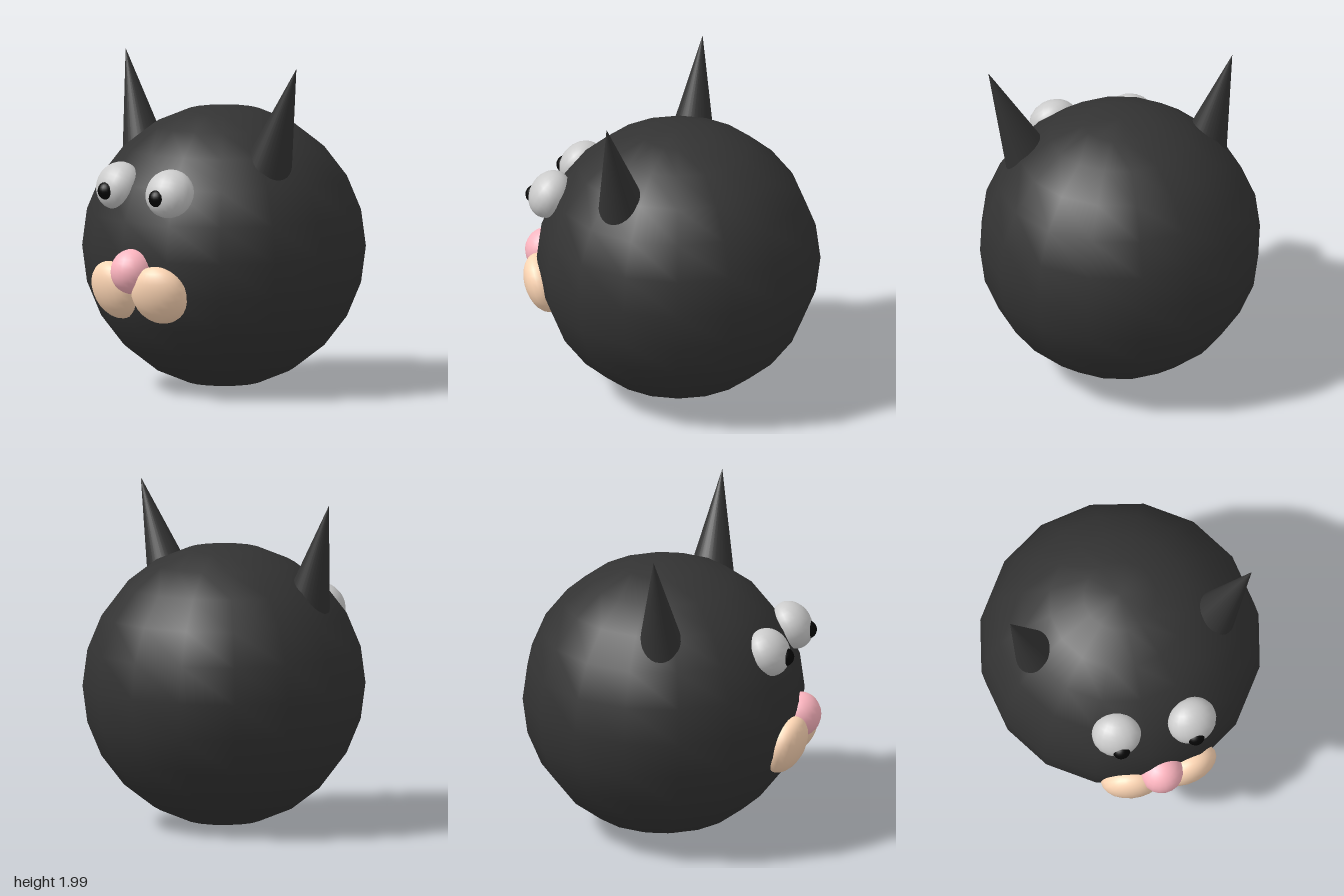
import * as THREE from 'three';

const mat = (color) => new THREE.MeshStandardMaterial({ color });
const furMat = mat(0x333333);
const eyeMat = mat(0xcccccc);
const pupilMat = mat(0x050505);
const noseMat = mat(0xffb6c1);
const muzzleMat = mat(0xffd7b5);

export function createModel() {
  const group = new THREE.Group();

  // Ellipsoid with radii r, pitched and yawed to lie against the head
  function ball(name, material, pos, r, pitch = 0, yaw = 0, segs = [20, 14]) {
    const mesh = new THREE.Mesh(new THREE.SphereGeometry(1, ...segs), material);
    mesh.name = name;
    mesh.position.set(...pos);
    mesh.scale.set(...r);
    mesh.rotation.set(pitch, yaw, 0, 'YXZ');
    group.add(mesh);
  }

  // Cone given by its tip and sideways lean, base sunk in the head
  function ear(name, tip, lean) {
    const height = 0.78;
    const geo = new THREE.ConeGeometry(height * 0.217, height, 32);
    geo.translate(0, -height / 2, 0);
    const mesh = new THREE.Mesh(geo, furMat);
    mesh.name = name;
    mesh.position.set(...tip);
    mesh.rotation.z = lean;
    group.add(mesh);
  }

  // Head
  ball('head', furMat, [0, 0.85, -0.055], [0.843, 0.843, 0.843], 0, 0, [16, 12]);

  // Ears
  ear('leftEar', [0.77, 2.0, 0.085], -0.374);
  ear('rightEar', [-0.7, 1.975, 0.085], 0.27);

  // Eyes and pupils
  ball('leftEye', eyeMat, [0.28, 1.257, 0.658], [0.15, 0.148, 0.12], -0.5, 0.3);
  ball('rightEye', eyeMat, [-0.177, 1.26, 0.645], [0.147, 0.146, 0.12], -0.5, -0.2);
  ball('leftPupil', pupilMat, [0.28, 1.238, 0.755], [0.055, 0.055, 0.055]);
  ball('rightPupil', pupilMat, [-0.17, 1.238, 0.745], [0.055, 0.055, 0.055]);

  // Muzzle and nose
  ball('leftMuzzle', muzzleMat, [0.245, 0.65, 0.71], [0.18, 0.183, 0.11], 0.37, 0.3);
  ball('rightMuzzle', muzzleMat, [-0.107, 0.65, 0.732], [0.179, 0.183, 0.11], 0.37, -0.13);
  ball('nose', noseMat, [0.07, 0.78, 0.765], [0.13, 0.135, 0.13]);

  return group;
}
